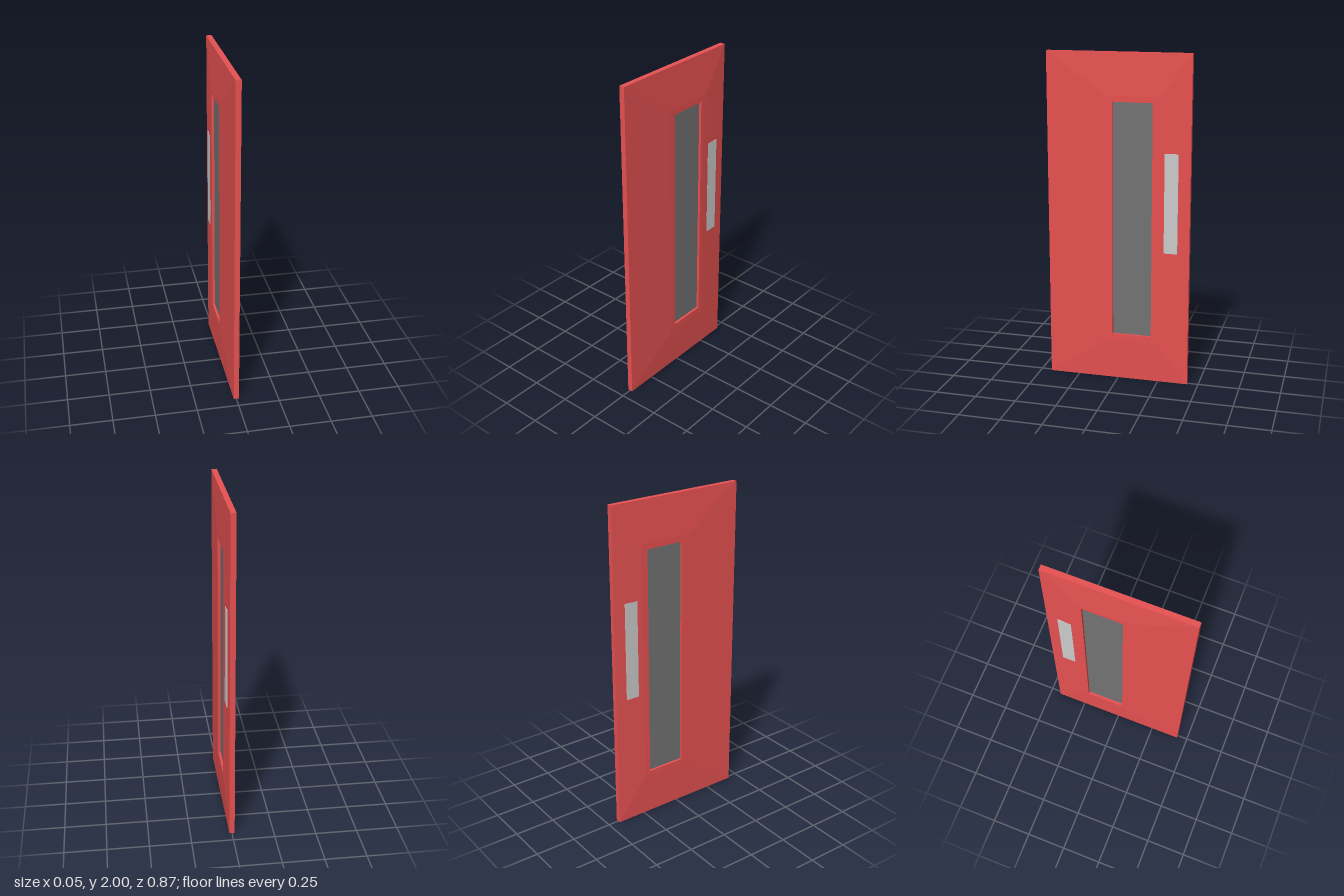
import * as THREE from 'three';

// Corners of an upright rectangle at depth x, counter-clockwise seen from +x
const rect = ({ z0, z1, y0, y1 }, x) => [[x, y0, z1], [x, y0, z0], [x, y1, z0], [x, y1, z1]];

// Skin consecutive rectangular loops with quads
function skinLoops(loops) {
  const positions = [];
  for (let k = 0; k < loops.length - 1; k++) {
    const a = loops[k], b = loops[k + 1];
    for (let i = 0; i < 4; i++) {
      const j = (i + 1) % 4;
      for (const p of [a[i], a[j], b[j], a[i], b[j], b[i]]) positions.push(...p);
    }
  }
  const geometry = new THREE.BufferGeometry();
  geometry.setAttribute('position', new THREE.Float32BufferAttribute(positions, 3));
  geometry.computeVertexNormals();
  return geometry;
}

function createBox(name, area, halfThickness, material) {
  const { z0, z1, y0, y1 } = area;
  const mesh = new THREE.Mesh(new THREE.BoxGeometry(halfThickness * 2, y1 - y0, z1 - z0), material);
  mesh.position.set(0, (y0 + y1) / 2, (z0 + z1) / 2);
  mesh.name = name;
  return mesh;
}

export function createModel() {
  const group = new THREE.Group();
  group.name = 'door';
  const red = new THREE.MeshStandardMaterial({ color: 0xe85151, flatShading: true });
  const darkGrey = new THREE.MeshStandardMaterial({ color: 0x737373 });
  const grey = new THREE.MeshStandardMaterial({ color: 0xcccccc });

  const outer = { z0: -0.433, z1: 0.433, y0: 0, y1: 2 };
  const rim = { z0: -0.245, z1: 0.07, y0: 0.25, y1: 1.75 };
  const opening = { z0: -0.207, z1: 0.032, y0: 0.29, y1: 1.715 };
  const edgeX = 0.016, rimX = 0.027, paneX = 0.012;

  // Door leaf: bevelled on both faces, with a raised flat rim and a window opening
  const leaf = new THREE.Mesh(skinLoops([
    rect(opening, -paneX), rect(opening, -rimX), rect(rim, -rimX), rect(outer, -edgeX),
    rect(outer, edgeX), rect(rim, rimX), rect(opening, rimX), rect(opening, paneX),
  ]), red);
  leaf.name = 'doorLeaf';
  group.add(leaf);

  // Recessed window pane
  group.add(createBox('windowPane', opening, paneX, darkGrey));

  // Handle plate showing through on both faces
  const handle = { z0: -0.362, z1: -0.28, y0: 0.825, y1: 1.425 };
  group.add(createBox('handlePlate', handle, 0.0255, grey));

  return group;
}
